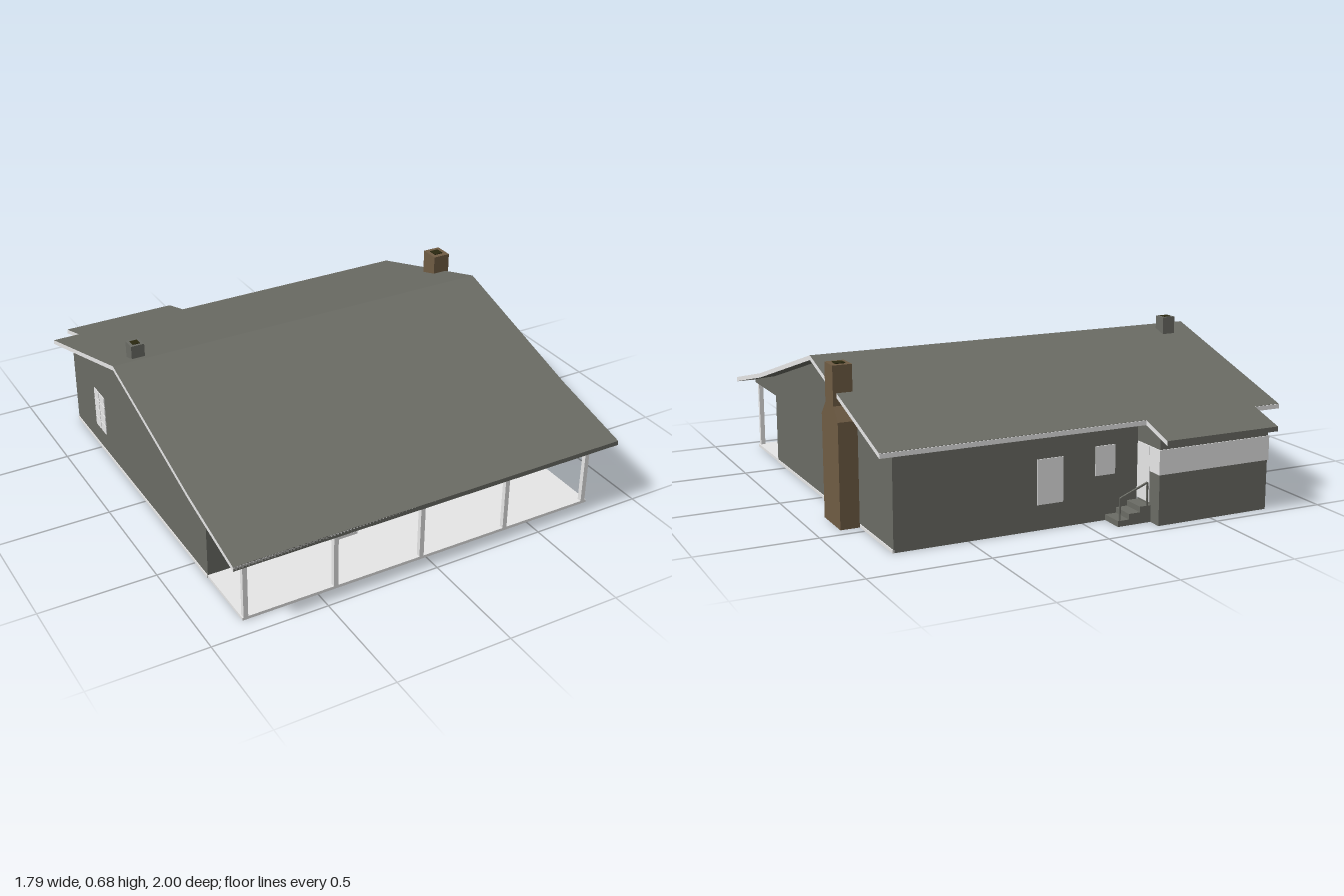
import * as THREE from 'three';

export function createModel() {
  const house = new THREE.Group();
  house.name = 'house';
  const mat = (name, color, side = THREE.FrontSide) => {
    const m = new THREE.MeshStandardMaterial({ color, side });
    m.name = name;
    return m;
  };
  const grey = mat('grey siding', 0x6b6c65, THREE.DoubleSide);
  const white = mat('white trim', 0xececec);
  const brown = mat('brown brick', 0x6f5c44);
  const dark = mat('dark olive', 0x2a2810);

  const add = (name, geo, material) => {
    const m = new THREE.Mesh(geo, material);
    m.name = name;
    house.add(m);
    return m;
  };
  // Box given by its extents on each axis
  const box = (name, material, x0, x1, y0, y1, z0, z1) => {
    const m = add(name, new THREE.BoxGeometry(x1 - x0, y1 - y0, z1 - z0), material);
    m.position.set((x0 + x1) / 2, (y0 + y1) / 2, (z0 + z1) / 2);
    return m;
  };
  // Side profiles are lists of [z, y]
  const profile = pts => new THREE.Shape(pts.map(([z, y]) => new THREE.Vector2(-z, y)));
  const prism = (name, material, pts, x0, x1) => {
    const g = new THREE.ExtrudeGeometry(profile(pts), { depth: x1 - x0, bevelEnabled: false });
    return add(name, g.rotateY(Math.PI / 2).translate(x0, 0, 0), material);
  };
  const sheet = (name, pts, x) =>
    add(name, new THREE.ShapeGeometry(profile(pts)).rotateY(Math.PI / 2).translate(x, 0, 0), grey);
  const wall = (name, x0, x1, y0, y1, z) => {
    const g = new THREE.PlaneGeometry(x1 - x0, y1 - y0);
    return add(name, g.translate((x0 + x1) / 2, (y0 + y1) / 2, z), grey);
  };

  const L = -0.83, R = 0.81, F = 0.615, B = -0.79, T = 0.02;
  const back = z => 0.635 + 0.302 * (z + 0.09); // roof top behind the ridge

  // Roof with white verges and eave boards
  const roofTop = [[1, 0.33], [0.62, 0.422], [-0.09, 0.635], [-0.84, back(-0.84)]];
  const roofLow = roofTop.map(([z, y]) => [z, y - T]).reverse();
  prism('roof', [white, grey], [...roofTop, ...roofLow], -0.9, 0.88);
  prism('rearRoof', [white, grey],
    [[-0.84, back(-0.84)], [-1, back(-1)], [-1, back(-1) - T], [-0.84, back(-0.84) - T]], -0.78, -0.255);
  box('frontFascia', white, -0.9, 0.88, 0.31, 0.329, 0.994, 1);
  box('rearFascia', white, -0.255, 0.88, back(-0.84) - T, back(-0.84) - 0.001, -0.843, -0.838);
  box('rearFascia', white, -0.9, -0.78, back(-0.84) - T, back(-0.84) - 0.001, -0.843, -0.838);
  box('extensionFascia', white, -0.78, -0.255, back(-1) - T, back(-1) - 0.001, -1, -0.995);

  // Main walls, open underneath
  const gable = [[0.93, 0.312], [F, 0.312], [F, 0], [B, 0], [B, back(B) - T],
    [-0.09, 0.615], [0.62, 0.402], [0.93, 0.327]];
  sheet('leftGable', gable, R);
  sheet('rightGable', gable, L);
  wall('frontWall', L, R, 0, 0.402, F);
  wall('backWall', -0.25, R, 0, back(B) - T, B);
  wall('backWallEnd', L, -0.77, 0, back(B) - T, B);
  for (const x of [L, R]) box('foundationStrip', white, x - 0.004, x + 0.004, 0, 0.013, B, F);

  // Rear extension with a white band
  const EB = -0.95, ex = [-0.77, -0.255];
  for (const x of ex) {
    sheet('extensionSide', [[B, 0], [EB, 0], [EB, back(EB) - T], [B, back(B) - T]], x);
    box('extensionBand', white, x - 0.004, x + 0.004, 0.21, 0.312, EB, B);
  }
  wall('extensionBack', ex[0], ex[1], 0, back(EB) - T, EB);
  box('extensionBand', white, ex[0] - 0.004, ex[1] + 0.004, 0.21, 0.312, EB - 0.004, EB + 0.004);
  box('rearDoor', white, ex[1] - 0.004, ex[1] + 0.005, 0.08, 0.312, -0.88, B);

  // Rear steps and handrail
  for (let i = 0; i < 3; i++)
    box('rearStep', grey, -0.255 + i * 0.05, -0.205 + i * 0.05, 0, 0.07 - i * 0.023, -0.89, B);
  for (const [x, y0, y1] of [[-0.24, 0.07, 0.165], [-0.115, 0.024, 0.115]])
    box('railPost', grey, x - 0.003, x + 0.003, y0, y1, -0.888, -0.882);
  const rail = box('handrail', grey, -0.245, -0.11, 0.137, 0.143, -0.889, -0.881);
  rail.rotation.z = -0.38;

  // Porch
  box('porchSlab', white, L, R, 0, 0.013, F, 0.92);
  for (const x of [-0.815, -0.42, -0.023, 0.386, 0.793])
    box('porchPost', white, x - 0.01, x + 0.01, 0.013, 0.325, 0.9, 0.92);
  box('porchStep', white, -0.29, -0.17, 0.013, 0.026, F, 0.66);

  // Front door: white frame, dark leaf and three panels
  box('doorFrame', white, -0.307, -0.167, 0.036, 0.306, F - 0.003, F + 0.003);
  box('doorLeaf', dark, -0.3, -0.174, 0.042, 0.3, F - 0.004, F + 0.004);
  [[0.081, brown], [0.151, brown], [0.221, white]].forEach(([y, m]) =>
    box('doorPanel', m, -0.26, -0.212, y, y + 0.046, F - 0.0048, F + 0.0048));

  // Front windows
  for (const x of [-0.573, 0.562])
    box('frontWindow', white, x - 0.058, x + 0.058, 0.092, 0.275, F - 0.004, F + 0.004);
  box('pictureWindowFrame', grey, -0.02, 0.195, 0.118, 0.302, F - 0.003, F + 0.003);
  for (let r = 0; r < 4; r++) for (let c = 0; c < 2; c++) {
    const x = -0.013 + c * 0.103, y = 0.124 + r * 0.044;
    box('pictureWindowPane', white, x, x + 0.095, y, y + 0.038, F - 0.0048, F + 0.0048);
  }

  // Back windows
  box('backWindow', white, 0.09, 0.205, 0.105, 0.29, B - 0.004, B + 0.004);
  box('smallBackWindow', white, -0.145, -0.055, 0.19, 0.312, B - 0.004, B + 0.004);

  // Gable windows: a sash on one side, a grid of panes on the other
  for (const y of [0.095, 0.185])
    box('sashPane', white, R - 0.004, R + 0.004, y, y + 0.088, -0.217, -0.1);
  for (let r = 0; r < 4; r++) for (let c = 0; c < 2; c++) {
    const z = -0.54 + c * 0.06, y = 0.105 + r * 0.048;
    box('gridPane', white, L - 0.004, L + 0.004, y, y + 0.043, z, z + 0.055);
  }

  // Chimney with sloped shoulders, and the roof vent
  prism('chimney', brown, [[-0.262, 0], [-0.262, 0.435], [-0.31, 0.49], [-0.31, 0.652],
    [-0.4, 0.652], [-0.4, 0.49], [-0.447, 0.435], [-0.447, 0]], R + 0.004, 0.895);
  box('chimneyFlue', dark, 0.832, 0.874, 0.65, 0.655, -0.377, -0.334);
  box('roofVent', grey, -0.8, -0.741, 0.57, 0.68, -0.19, -0.13);
  box('ventFlue', dark, -0.787, -0.754, 0.678, 0.682, -0.177, -0.143);

  return house;
}
